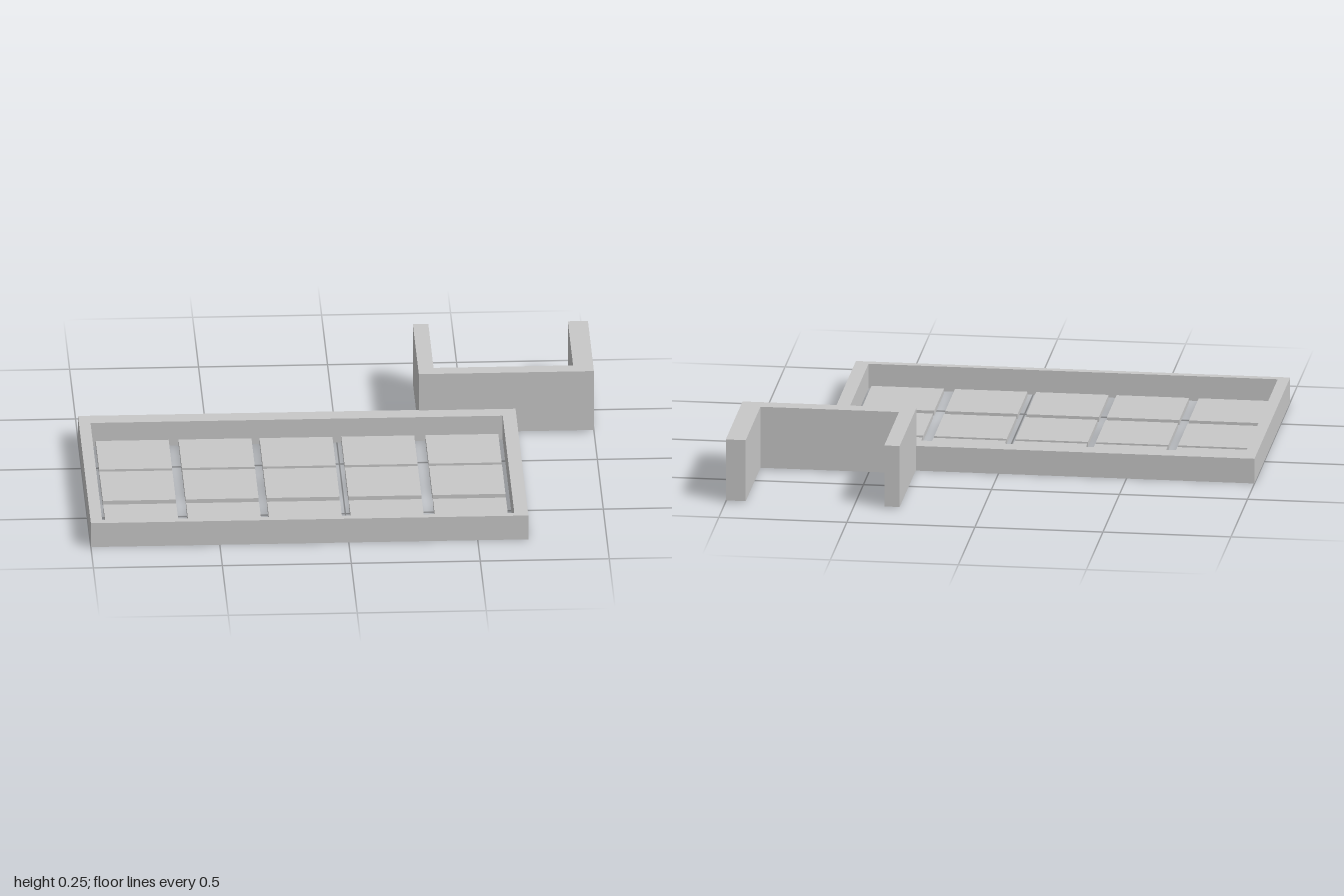
import * as THREE from 'three';

export function createModel() {
  const model = new THREE.Group();
  const grey = new THREE.MeshStandardMaterial({ color: 0xc8c8c8 });
  grey.name = 'light grey';

  // Extrudes a plan outline (x, z) upward from y0 to y1.
  const slab = (name, outline, y0, y1, hole) => {
    const toPoints = (pts) => pts.map(([x, z]) => new THREE.Vector2(x, -z));
    const shape = new THREE.Shape(toPoints(outline));
    if (hole) shape.holes.push(new THREE.Path(toPoints(hole)));
    const geometry = new THREE.ExtrudeGeometry(shape, { depth: y1 - y0, bevelEnabled: false });
    geometry.rotateX(-Math.PI / 2).translate(0, y0, 0);
    const mesh = new THREE.Mesh(geometry, grey);
    mesh.name = name;
    return mesh;
  };
  const rect = (x0, x1, z0, z1) => [[x0, z1], [x1, z1], [x1, z0], [x0, z0]];

  // Open tray frame with walls of differing thickness
  model.add(slab('trayFrame', rect(-1, 0.696, -0.29, 0.79), 0, 0.1,
    rect(-0.955, 0.643, -0.217, 0.76)));

  // Grid of thin floor tiles
  const tiles = new THREE.Group();
  tiles.name = 'floorTiles';
  for (const x of [-0.935, -0.614, -0.3, 0.017, 0.343]) {
    for (const z of [-0.224, 0.092, 0.424]) {
      tiles.add(slab('floorTile', rect(x, x + 0.283, z, z + 0.294), 0.004, 0.024));
    }
  }
  model.add(tiles);

  // Taller U-shaped bracket behind the tray, open to the back
  model.add(slab('bracket', [
    [0.321, -0.285], [1, -0.285], [1, -0.79], [0.922, -0.79],
    [0.922, -0.346], [0.381, -0.346], [0.381, -0.79], [0.321, -0.79],
  ], 0.005, 0.252));

  return model;
}
